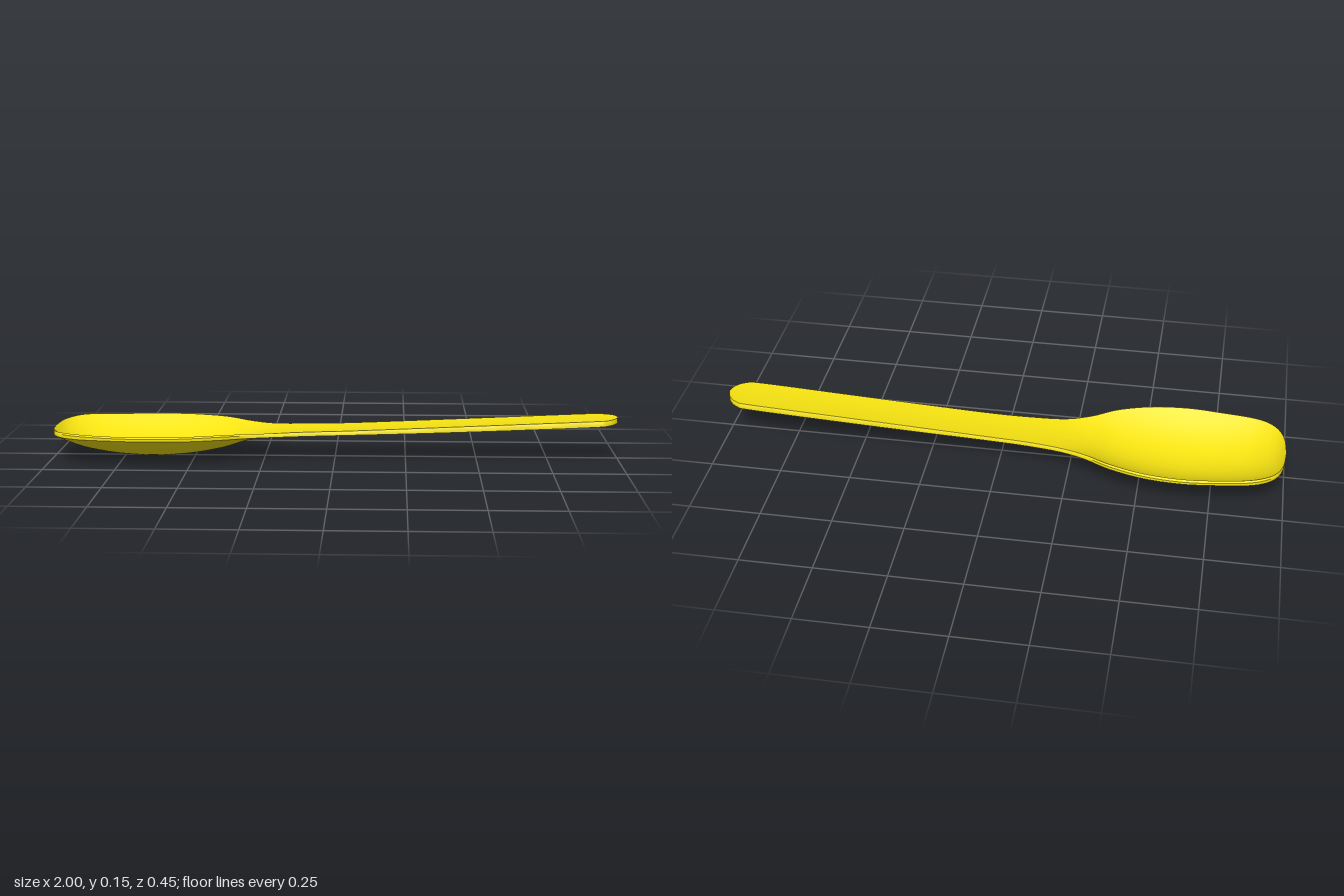
import * as THREE from 'three';
import { toCreasedNormals } from 'three/addons/utils/BufferGeometryUtils.js';

// Stations along the spoon: [x, half width, rim y, edge underside y, centre underside y, centre top y]
const STATIONS = [
  [-1.0, 0.0, 0.106, 0.093, 0.091, 0.106],
  [-0.992, 0.08, 0.108, 0.093, 0.084, 0.1],
  [-0.97, 0.138, 0.11, 0.094, 0.066, 0.082],
  [-0.93, 0.177, 0.112, 0.095, 0.045, 0.062],
  [-0.87, 0.2, 0.111, 0.095, 0.025, 0.043],
  [-0.77, 0.216, 0.109, 0.095, 0.008, 0.027],
  [-0.65, 0.227, 0.109, 0.095, 0.001, 0.02],
  [-0.52, 0.215, 0.109, 0.094, 0.009, 0.028],
  [-0.4, 0.177, 0.108, 0.092, 0.031, 0.049],
  [-0.31, 0.127, 0.103, 0.088, 0.059, 0.076],
  [-0.22, 0.096, 0.1, 0.086, 0.075, 0.091],
  [-0.1, 0.082, 0.103, 0.088, 0.08, 0.098],
  [0.05, 0.077, 0.107, 0.092, 0.083, 0.103],
  [0.3, 0.076, 0.118, 0.1, 0.09, 0.114],
  [0.6, 0.076, 0.132, 0.112, 0.104, 0.128],
  [0.9, 0.076, 0.146, 0.126, 0.122, 0.143],
  [0.955, 0.067, 0.148, 0.129, 0.126, 0.146],
  [0.988, 0.036, 0.15, 0.131, 0.13, 0.148],
  [1.0, 0.0, 0.15, 0.131, 0.131, 0.149],
];
const STEPS = 108; // lengthwise samples
const ACROSS = 24; // samples across the width

// Closed cross-section, from the underside round to the top
function section([x, w, rim, edge, bottom, top]) {
  const ring = [];
  for (let j = 0; j <= ACROSS; j++) {
    const t = (j / ACROSS) * 2 - 1;
    ring.push([x, bottom + (edge - bottom) * Math.abs(t) ** 1.55, w * t]);
  }
  ring.push([x, rim - 0.005, w]);
  for (let j = 0; j <= ACROSS; j++) {
    const t = 1 - (j / ACROSS) * 2;
    ring.push([x, top + (rim - top) * Math.abs(t) ** 2, w * 0.96 * t]);
  }
  ring.push([x, rim - 0.005, -w]);
  return ring;
}

// Skin a series of cross-sections into one smooth shell
function loft(rings) {
  const n = rings[0].length;
  const index = [];
  for (let i = 0; i < rings.length - 1; i++) {
    for (let j = 0; j < n; j++) {
      const a = i * n + j, b = i * n + ((j + 1) % n);
      index.push(a, a + n, b, b, a + n, b + n);
    }
  }
  const geometry = new THREE.BufferGeometry();
  geometry.setAttribute('position', new THREE.Float32BufferAttribute(rings.flat(2), 3));
  geometry.setIndex(index);
  return toCreasedNormals(geometry, 0.75);
}

export function createModel() {
  const group = new THREE.Group();
  group.name = 'spoon';

  // Two splines share one parameter: plan outline and thickness profile
  const spline = (from) => new THREE.CatmullRomCurve3(
    STATIONS.map((s) => new THREE.Vector3(...s.slice(from, from + 3))), false, 'catmullrom', 0.5);
  const outline = spline(0), profile = spline(3);

  const rings = [];
  for (let i = 0; i <= STEPS; i++) {
    const u = i / STEPS;
    rings.push(section([...outline.getPoint(u).toArray(), ...profile.getPoint(u).toArray()]));
  }

  // Bowl and handle are one continuous body
  const body = new THREE.Mesh(loft(rings), new THREE.MeshStandardMaterial({ color: 0xf5e211 }));
  body.name = 'bowlAndHandle';
  group.add(body);
  return group;
}
